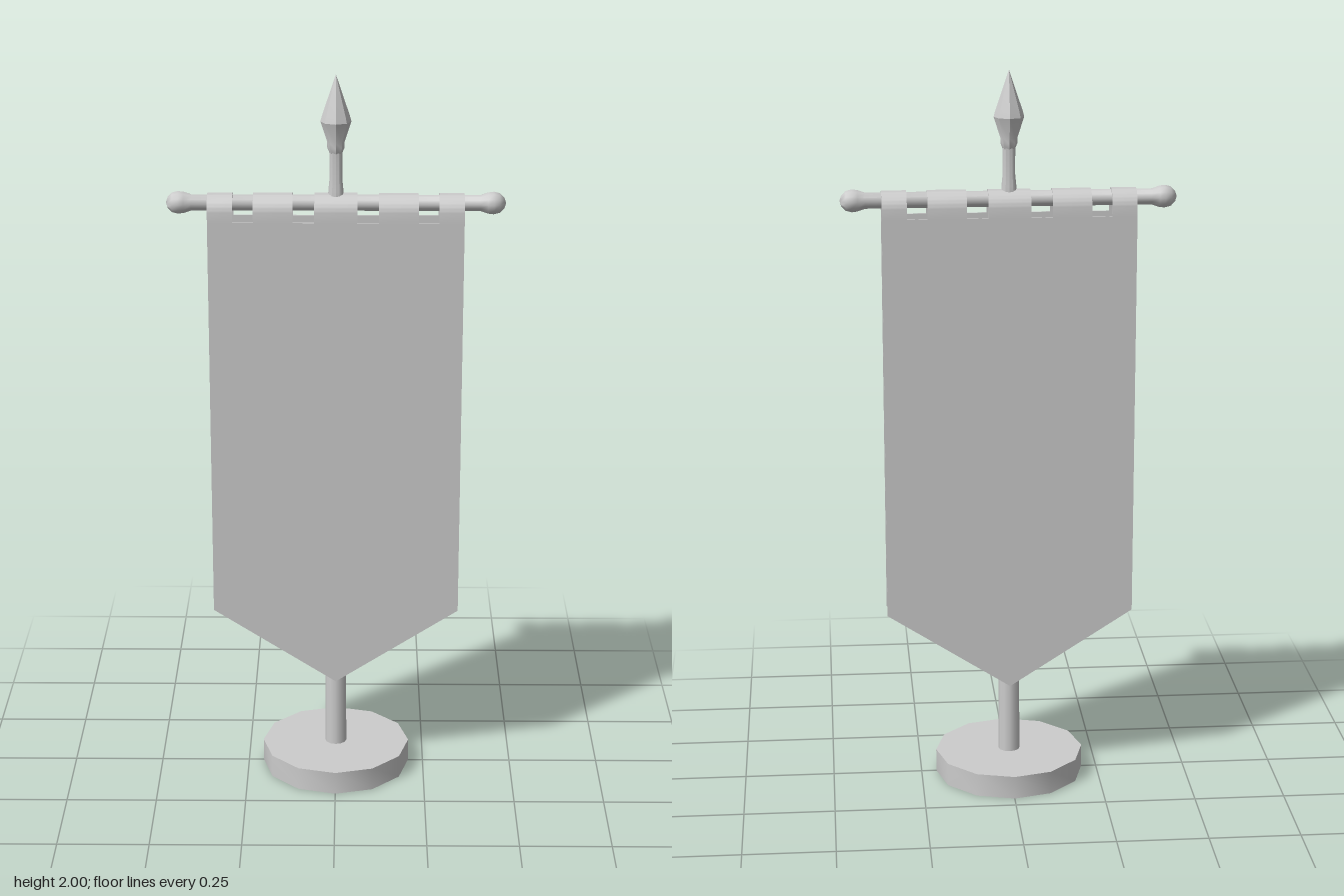
import * as THREE from 'three';
import { toCreasedNormals } from 'three/addons/utils/BufferGeometryUtils.js';

const BAR_Y = 1.655;   // crossbar axis
const CLOTH_Z = 0.044; // outer face of each cloth sheet
const CLOTH_T = 0.006; // cloth thickness
const TAB_Y = 1.61;    // where the hanging tabs meet the cloth

export function createModel() {
  const model = new THREE.Group();
  const grey = new THREE.MeshStandardMaterial({ color: 0xcccccc });
  grey.name = 'plain grey';

  const add = (name, geometry) => {
    const mesh = new THREE.Mesh(geometry, grey);
    mesh.name = name;
    model.add(mesh);
    return mesh;
  };
  const lathe = (profile, sides, crease) => toCreasedNormals(
    new THREE.LatheGeometry(profile.map(([r, y]) => new THREE.Vector2(r, y)), sides), crease);

  // Twelve-sided foot with a small socket underneath
  add('base', lathe([
    [0, 0.04], [0.03, 0.04], [0.03, 0], [0.208, 0], [0.208, 0.065], [0, 0.065],
  ], 12, 0.6));

  // Tapered upright
  add('pole', lathe([[0.03, 0.05], [0.025, 1.6], [0.02, 1.69], [0.017, 1.72], [0.017, 1.8]], 12, 0.7));

  // Spear-shaped finial
  add('finial', lathe([
    [0, 1.79], [0.017, 1.79], [0.023, 1.805], [0.023, 1.82], [0.041, 1.875], [0.037, 1.89], [0, 2],
  ], 8, 0.5));

  // Crossbar with rounded knobs at both ends
  const end = [[0, 0.453], [0.015, 0.448], [0.027, 0.436], [0.031, 0.42], [0.029, 0.405], [0.022, 0.385]];
  const bar = add('crossbar', lathe(
    [...end.map(([r, y]) => [r, -y]), ...end.slice().reverse()], 12, 0.9));
  bar.rotation.z = Math.PI / 2;
  bar.position.y = BAR_Y;

  // Front and back cloth sheets, pointed at the bottom
  const outline = new THREE.Shape([
    [-0.342, TAB_Y], [-0.342, 0.49], [0, 0.27], [0.342, 0.49], [0.342, TAB_Y],
  ].map(([x, y]) => new THREE.Vector2(x, y)));
  const sheet = new THREE.ExtrudeGeometry(outline, { depth: CLOTH_T, bevelEnabled: false });
  add('frontCloth', sheet).position.z = CLOTH_Z - CLOTH_T;
  add('backCloth', sheet).position.z = -CLOTH_Z;

  // Tabs looping over the crossbar, as arched strips
  const springY = 1.632, topY = 1.681;
  const arch = new THREE.Shape();
  arch.moveTo(CLOTH_Z, TAB_Y);
  arch.lineTo(CLOTH_Z, springY);
  arch.absellipse(0, springY, CLOTH_Z, topY - springY, 0, Math.PI, false, 0);
  arch.lineTo(-CLOTH_Z, TAB_Y);
  arch.lineTo(-CLOTH_Z + CLOTH_T, TAB_Y);
  arch.lineTo(-CLOTH_Z + CLOTH_T, springY);
  arch.absellipse(0, springY, CLOTH_Z - CLOTH_T, topY - springY - CLOTH_T, Math.PI, 0, true, 0);
  arch.lineTo(CLOTH_Z - CLOTH_T, TAB_Y);
  for (const [x0, x1] of [[-0.342, -0.275], [-0.22, -0.115], [-0.057, 0.057], [0.115, 0.22], [0.275, 0.342]]) {
    const strip = new THREE.ExtrudeGeometry(arch, { depth: x1 - x0, bevelEnabled: false, curveSegments: 14 });
    strip.rotateY(Math.PI / 2);
    add('hangingTab', toCreasedNormals(strip, 0.7)).position.x = x0;
  }

  return model;
}
